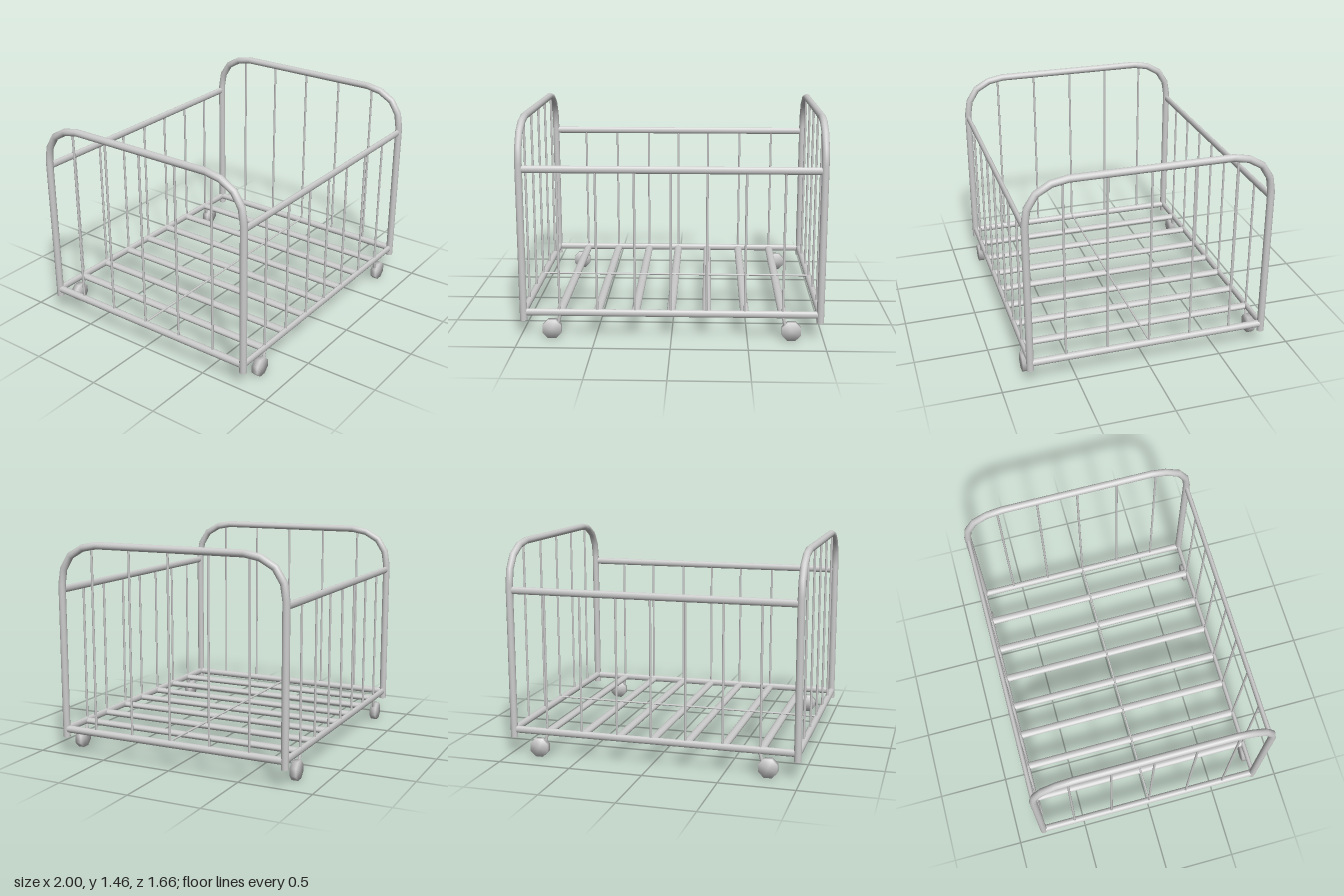
import * as THREE from 'three';
import { mergeVertices } from 'three/addons/utils/BufferGeometryUtils.js';

const material = new THREE.MeshStandardMaterial({ color: 0xcccccc });
const UP = new THREE.Vector3(0, 1, 0);
const SIDE_Z = 0.807, END_X = 0.9755, TUBE = 0.0245;
const RAIL_Y = 0.175;

function add(parent, name, geometry) {
  const mesh = new THREE.Mesh(geometry, material);
  mesh.name = name;
  parent.add(mesh);
  return mesh;
}

// Straight bar between two points; rx and rz are the half widths of its section
function bar(parent, name, a, b, rx, rz = rx, sides = 16) {
  const start = new THREE.Vector3(...a), end = new THREE.Vector3(...b);
  const dir = end.clone().sub(start);
  const mesh = add(parent, name, new THREE.CylinderGeometry(1, 1, dir.length(), sides));
  mesh.scale.set(rx, 1, rz);
  mesh.position.copy(start).add(end).multiplyScalar(0.5);
  mesh.quaternion.setFromUnitVectors(UP, dir.normalize());
}

// Round tube mitred along a path of [z, y] points, closed at both ends
function bentTube(path, radius, sides = 16) {
  const pts = path.map(([z, y]) => new THREE.Vector2(z, y));
  const pos = [], index = [];
  pts.forEach((p, i) => {
    const before = p.clone().sub(pts[Math.max(i - 1, 0)]).normalize();
    const after = pts[Math.min(i + 1, pts.length - 1)].clone().sub(p).normalize();
    const t = before.add(after).normalize();
    for (let j = 0; j < sides; j++) {
      const a = (j / sides) * Math.PI * 2;
      const s = Math.sin(a) * radius;
      pos.push(Math.cos(a) * radius, p.y + t.x * s, p.x - t.y * s);
    }
  });
  for (let i = 0; i < pts.length - 1; i++) {
    for (let j = 0; j < sides; j++) {
      const a = i * sides + j, b = i * sides + (j + 1) % sides;
      index.push(a, b, a + sides, b, b + sides, a + sides);
    }
  }
  // End caps use their own vertices so the rims stay sharp
  for (const ring of [0, pts.length - 1]) {
    const first = pos.length / 3;
    pos.push(...pos.slice(ring * sides * 3, (ring + 1) * sides * 3));
    for (let j = 1; j < sides - 1; j++) {
      if (ring === 0) index.push(first, first + j + 1, first + j);
      else index.push(first, first + j, first + j + 1);
    }
  }
  const geometry = new THREE.BufferGeometry();
  geometry.setAttribute('position', new THREE.Float32BufferAttribute(pos, 3));
  geometry.setIndex(index);
  geometry.computeVertexNormals();
  return geometry;
}

// Eight-sided wheel with normals smoothed over its rims
function wheel() {
  const disc = new THREE.CylinderGeometry(0.067, 0.067, 0.043, 8);
  disc.rotateY(Math.PI / 8).rotateX(Math.PI / 2);
  disc.deleteAttribute('normal');
  disc.deleteAttribute('uv');
  const smooth = mergeVertices(disc);
  smooth.computeVertexNormals();
  return smooth;
}

export function createModel() {
  const bed = new THREE.Group();
  bed.name = 'metalCot';

  // Arched end frames with vertical rods and a lower cross bar
  const half = [[SIDE_Z, 0.12], [SIDE_Z, 1.165], [0.79, 1.27], [0.733, 1.36], [0.637, 1.415], [0.53, 1.435]];
  const arch = [...half, ...half.map(([z, y]) => [-z, y]).reverse()];
  for (const side of [1, -1]) {
    const end = new THREE.Group();
    end.name = side > 0 ? 'leftEndFrame' : 'rightEndFrame';
    end.position.x = side * END_X;
    bed.add(end);
    add(end, 'endArch', bentTube(arch, TUBE));
    bar(end, 'endCrossBar', [0, RAIL_Y, -SIDE_Z + 0.015], [0, RAIL_Y, SIDE_Z - 0.015], TUBE);
    for (const z of [-0.567, -0.285, 0, 0.285, 0.567]) {
      bar(end, 'endRod', [0, RAIL_Y, z], [0, 1.425, z], 0.008, 0.008, 8);
    }
  }

  // Long sides: upper and lower rails, rods and casters
  const rodX = [-0.735, -0.487, -0.238, -0.003, 0.232, 0.482, 0.73];
  for (const side of [1, -1]) {
    const z = side * SIDE_Z;
    const rails = new THREE.Group();
    rails.name = side > 0 ? 'frontSide' : 'backSide';
    bed.add(rails);
    for (const y of [1.133, RAIL_Y]) {
      bar(rails, y > 1 ? 'topRail' : 'bottomRail', [-0.96, y, z], [0.96, y, z], TUBE, 0.016);
    }
    for (const x of rodX) bar(rails, 'sideRod', [x, RAIL_Y, z], [x, 1.133, z], 0.008, 0.008, 8);

    for (const s of [1, -1]) {
      bar(rails, 'casterStem', [s * 0.728, RAIL_Y, z], [s * 0.76, 0.05, z], 0.011, 0.011, 8);
      add(rails, 'casterWheel', wheel()).position.set(s * 0.788, 0.063, z);
    }
  }

  // Base slats and the thin wire lying over them
  for (const x of rodX) {
    bar(bed, 'baseSlat', [x, 0.17, -SIDE_Z], [x, 0.17, SIDE_Z], 0.029, 0.021);
  }
  bar(bed, 'centreWire', [-0.965, 0.193, 0], [0.965, 0.193, 0], 0.007, 0.007, 8);
  return bed;
}
